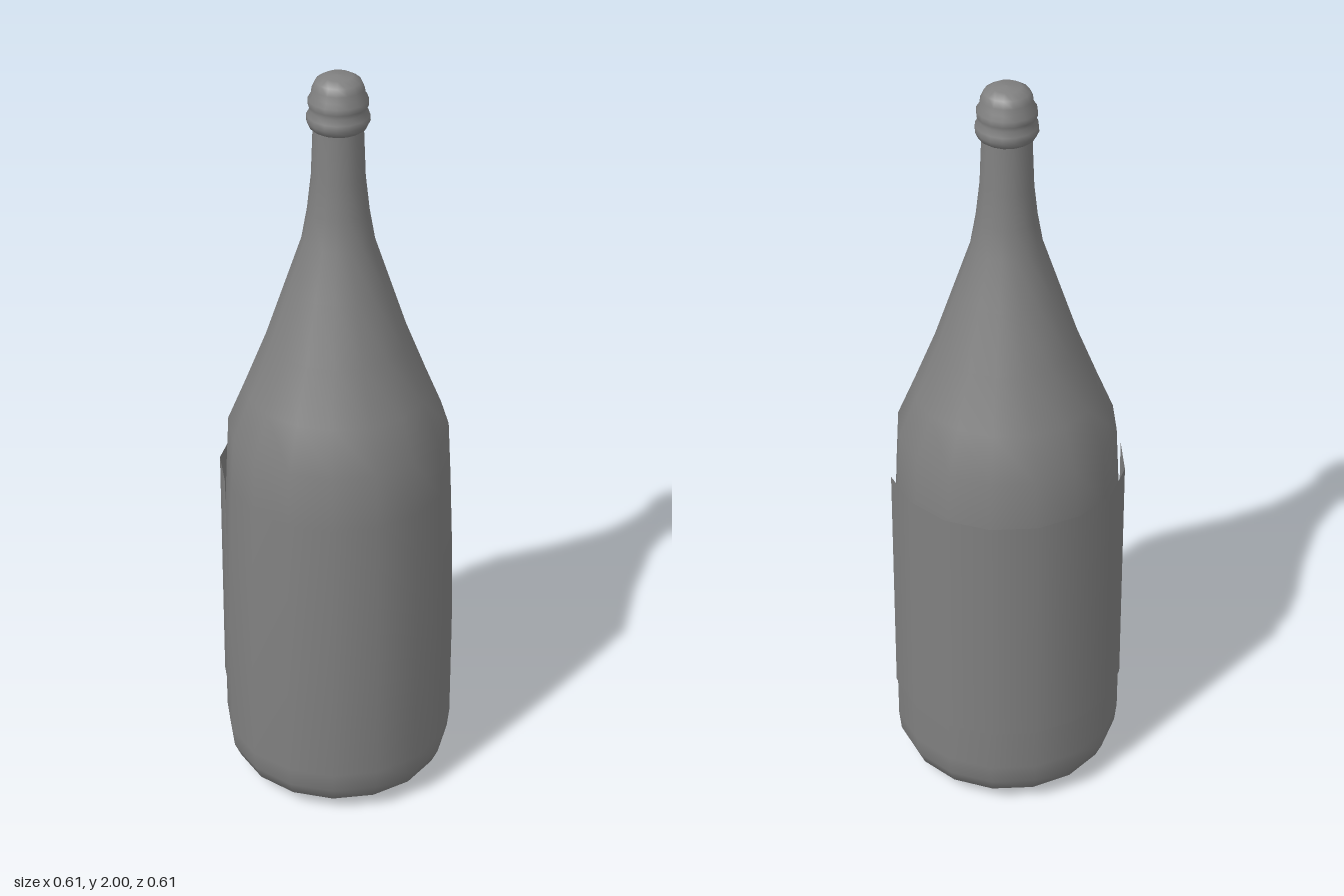
import * as THREE from 'three';

const SIDES = 16;
const points = (list) => list.map(([r, y]) => new THREE.Vector2(r, y));

export function createModel() {
  const group = new THREE.Group();
  group.name = 'bottle';
  const glass = new THREE.MeshStandardMaterial({ color: 0x808080 });
  const paper = new THREE.MeshStandardMaterial({ color: 0x808080, side: THREE.DoubleSide });

  const add = (name, material, profile, sides = SIDES, start = 0, sweep = Math.PI * 2) => {
    const mesh = new THREE.Mesh(new THREE.LatheGeometry(points(profile), sides, start, sweep), material);
    mesh.name = name;
    group.add(mesh);
  };

  // Base, body, shoulder and neck, with a pinhole in the base
  add('body', glass, [
    [0.009, 0], [0.2, 0.01], [0.245, 0.02], [0.278, 0.045], [0.296, 0.085], [0.302, 0.14],
    [0.302, 0.43], [0.297, 0.68], [0.288, 0.9], [0.28, 1.05], [0.235, 1.16], [0.18, 1.3],
    [0.13, 1.45], [0.09, 1.57], [0.076, 1.65], [0.066, 1.74], [0.061, 1.87],
  ]);

  // Two rounded rings and the domed stopper
  add('mouthAndStopper', glass, [
    [0.058, 1.862], [0.07, 1.87], [0.077, 1.885], [0.076, 1.9], [0.068, 1.913],
    [0.073, 1.925], [0.073, 1.94], [0.065, 1.952], [0.063, 1.968], [0.055, 1.985],
    [0.035, 1.997], [0, 2],
  ]);

  // Blank label wrapped around the back half, slightly tapered
  add('label', paper, [[0.306, 0.26], [0.304, 0.93]], SIDES / 2, Math.PI / 2, Math.PI);

  return group;
}
